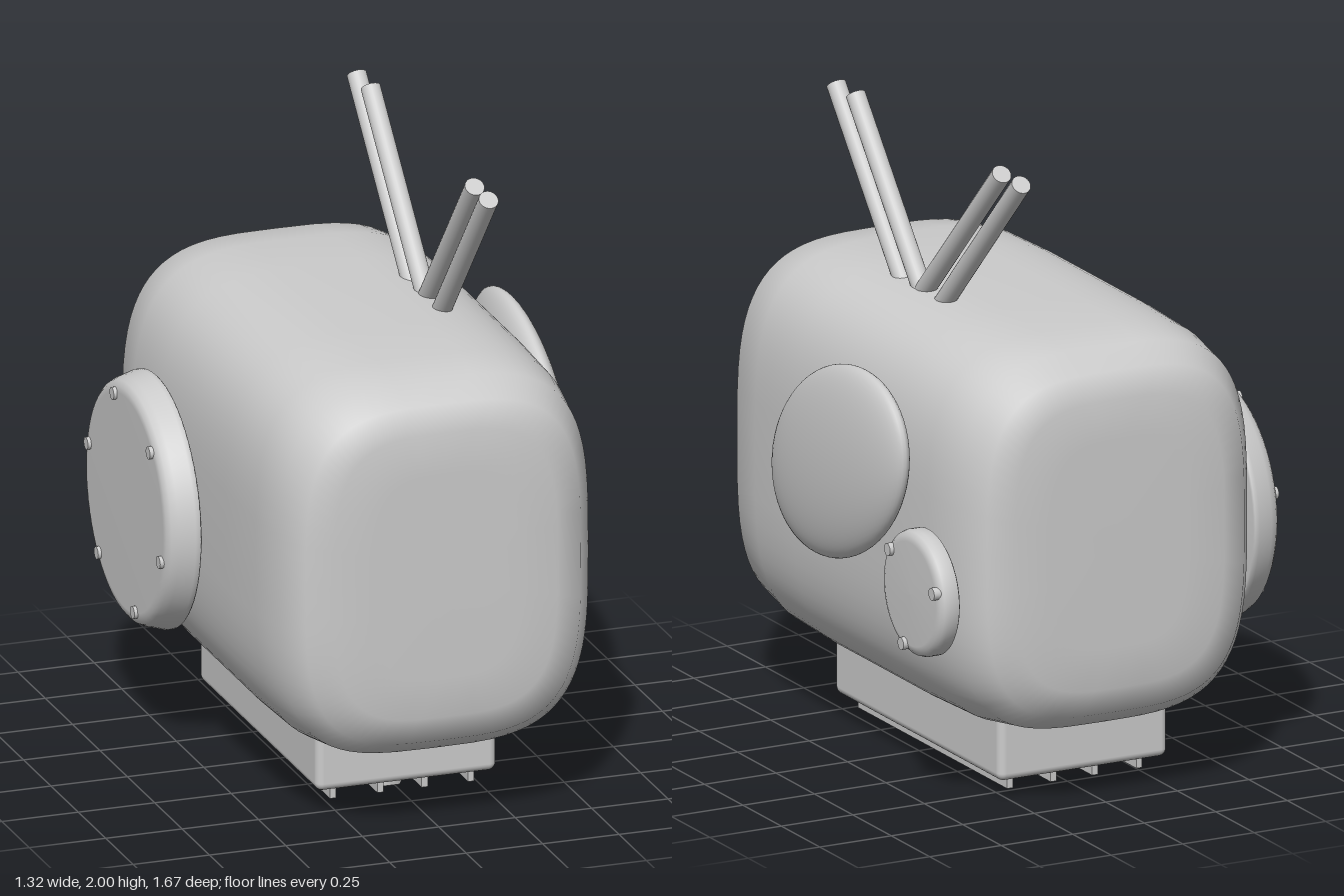
import * as THREE from 'three';
import { RoundedBoxGeometry } from 'three/addons/geometries/RoundedBoxGeometry.js';

const mat = new THREE.MeshStandardMaterial({ color: 0xcccccc });

function add(parent, name, geometry, x = 0, y = 0, z = 0) {
  const mesh = new THREE.Mesh(geometry, mat);
  mesh.name = name;
  mesh.position.set(x, y, z);
  parent.add(mesh);
  return mesh;
}

// Superelliptical rings lofted along z, closed by flat ends
function bodyGeometry(halfW, halfH) {
  const N = 72, power = 2 / 3.5;
  const end = [[0.835, 9], [0.835, 0.3], [0.832, 0.17], [0.805, 0.085], [0.72, 0.03], [0.56, 0.007], [0.3, 0]];
  const rings = [...end.map(([z, inset]) => [-z, inset]), ...end.slice().reverse()];
  const pos = [], idx = [];
  const soft = v => Math.sign(v) * Math.abs(v) ** power;
  rings.forEach(([z, inset], i) => {
    const w = Math.max(0, halfW - inset), h = Math.max(0, halfH - inset);
    for (let j = 0; j < N; j++) {
      const t = (j / N) * Math.PI * 2;
      pos.push(w * soft(Math.cos(t)), h * soft(Math.sin(t)), z);
      if (i === rings.length - 1) continue;
      const a = i * N + j, b = i * N + (j + 1) % N;
      idx.push(a, b, b + N, a, b + N, a + N);
    }
  });
  const g = new THREE.BufferGeometry();
  g.setAttribute('position', new THREE.Float32BufferAttribute(pos, 3));
  g.setIndex(idx);
  g.computeVertexNormals();
  return g;
}

// Round cover facing sideways, with bolts given as [z, y] offsets
function cover(parent, name, side, centre, profile, bolts, boltX, boltR) {
  const group = new THREE.Group();
  group.name = name;
  group.position.set(0, centre[1], centre[0]);
  const points = profile.map(([r, x]) => new THREE.Vector2(r, x));
  add(group, name + 'Plate', new THREE.LatheGeometry(points, 64)).rotation.z = -side * Math.PI / 2;
  for (const [z, y] of bolts) {
    const bolt = add(group, name + 'Bolt', new THREE.CylinderGeometry(boltR, boltR, 0.04, 16), side * (boltX - 0.02), y, z);
    bolt.rotation.z = -side * Math.PI / 2;
  }
  parent.add(group);
}

export function createModel() {
  const model = new THREE.Group();
  model.name = 'model';

  add(model, 'body', bodyGeometry(0.535, 0.635), -0.005, 0.855, 0);

  // Base block with runners and a hexagonal bolt underneath
  add(model, 'base', new RoundedBoxGeometry(0.59, 0.22, 1.08, 4, 0.025), -0.01, 0.17, -0.05);
  for (const x of [-0.235, -0.08, 0.065, 0.217]) {
    add(model, 'runner', new THREE.BoxGeometry(0.02, 0.07, 0.97), x, 0.052, -0.045);
  }
  add(model, 'baseBolt', new THREE.CylinderGeometry(0.053, 0.053, 0.08, 6), -0.01, 0.04, 0.3).rotation.y = Math.PI / 6;

  // Two splayed pairs of rods on top: [foot z, tip z]
  for (const [foot, tip] of [[0.19, 0.605], [0.063, 0.478], [0.01, -0.473], [-0.12, -0.6]]) {
    const a = new THREE.Vector3(0.215, 1.49, foot), b = new THREE.Vector3(0.215, 1.979, tip);
    const dir = b.clone().sub(a).normalize();
    a.addScaledVector(dir, -0.07);
    const rod = add(model, 'rod', new THREE.CylinderGeometry(0.031, 0.031, a.distanceTo(b), 24));
    rod.position.copy(a).lerp(b, 0.5);
    rod.quaternion.setFromUnitVectors(new THREE.Vector3(0, 1, 0), dir);
  }

  // Tilted lens-shaped bulge on the left side
  const bulge = add(model, 'sideBulge', new THREE.SphereGeometry(1, 48, 32), 0.575, 1.005, -0.095);
  bulge.scale.set(0.078, 0.293, 0.456);
  bulge.rotation.x = 27.6 * Math.PI / 180;

  // Small cover with three bolts
  cover(model, 'smallCover', 1, [-0.587, 0.712],
    [[0, 0.525], [0.19, 0.525], [0.2, 0.532], [0.2, 0.565], [0.195, 0.58], [0.183, 0.59], [0.165, 0.596], [0, 0.598]],
    [[0.125, 0.112], [-0.163, 0.045], [0.037, -0.167]], 0.61, 0.02);

  // Large cover with a ring of six bolts
  const ring = Array.from({ length: 6 }, (_, i) => {
    const t = (-14 + 60 * i) * Math.PI / 180;
    return [0.34 * Math.cos(t), 0.34 * Math.sin(t)];
  });
  cover(model, 'largeCover', -1, [-0.295, 0.785],
    [[0, 0.5], [0.4, 0.545], [0.405, 0.55], [0.405, 0.565], [0.39, 0.615], [0.38, 0.636], [0.365, 0.648], [0.345, 0.651], [0, 0.651]],
    ring, 0.662, 0.02);

  return model;
}
